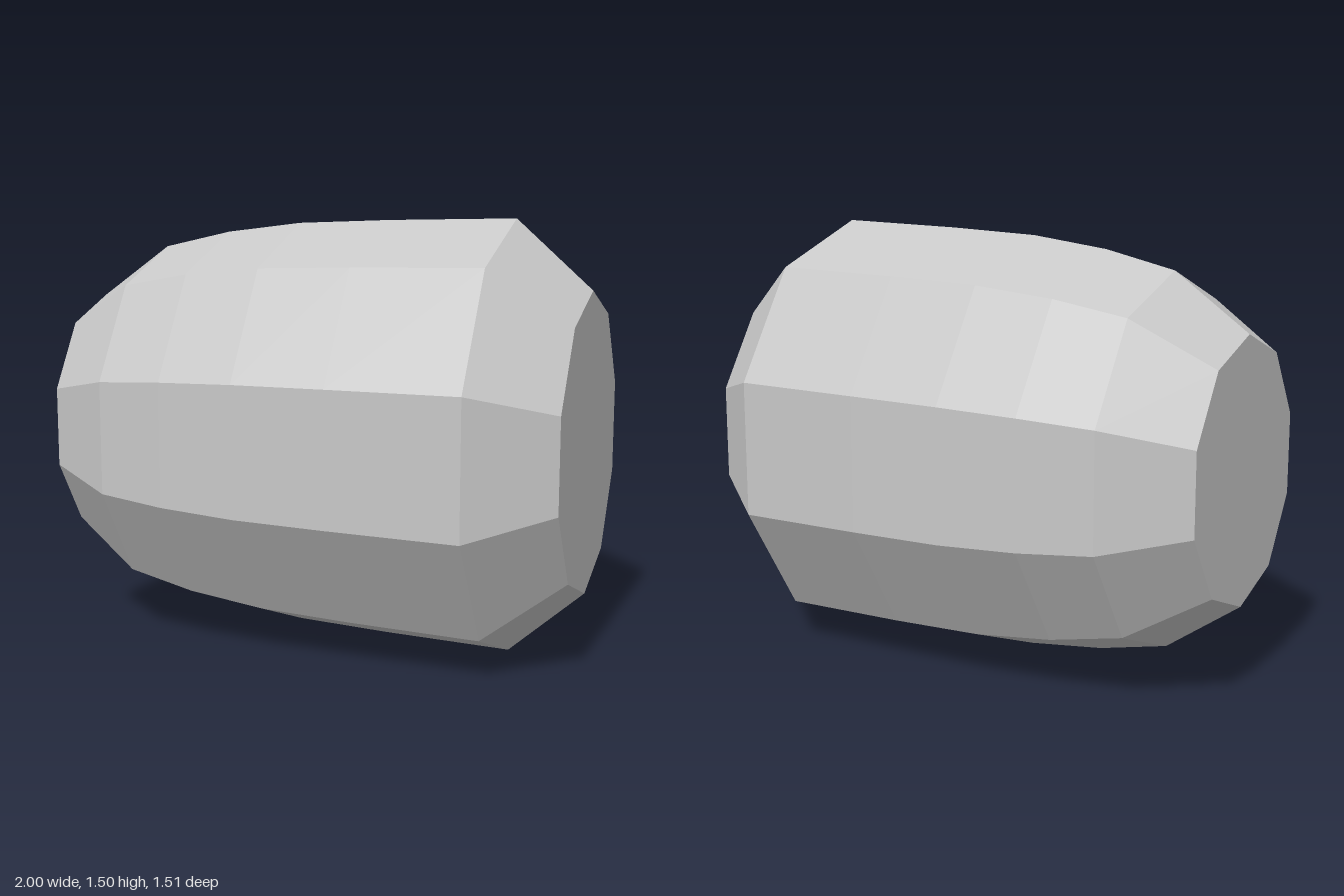
import * as THREE from 'three';

export function createModel() {
  const group = new THREE.Group();
  group.name = 'barrel';

  const grey = new THREE.MeshStandardMaterial({ color: 0xc8c8c8 });
  grey.name = 'light grey';
  grey.flatShading = true;

  // [radius, distance along the axis], from the rounded back to the front cap
  const profile = [
    [0, -1.582], [0.447, -1.582], [0.633, -1.317], [0.69, -1.065],
    [0.725, -0.787], [0.739, -0.455], [0.75, 0], [0.517, 0.264], [0, 0.264],
  ].map(([r, s]) => new THREE.Vector2(r, s));

  // Ten-sided body, slightly narrower than tall, laid on its side along x
  const geometry = new THREE.LatheGeometry(profile, 10).toNonIndexed();
  geometry.scale(0.845, 1, 1);
  geometry.applyMatrix4(new THREE.Matrix4().makeBasis(
    new THREE.Vector3(0, 0, 1),
    new THREE.Vector3(1, 0, 0),
    new THREE.Vector3(0, 1, 0),
  ));
  geometry.computeVertexNormals();

  const body = new THREE.Mesh(geometry, grey);
  body.name = 'facetedBarrelBody';
  body.position.set(0.605, 0.75, 0.19);
  body.rotation.y = -0.365;
  group.add(body);

  return group;
}
